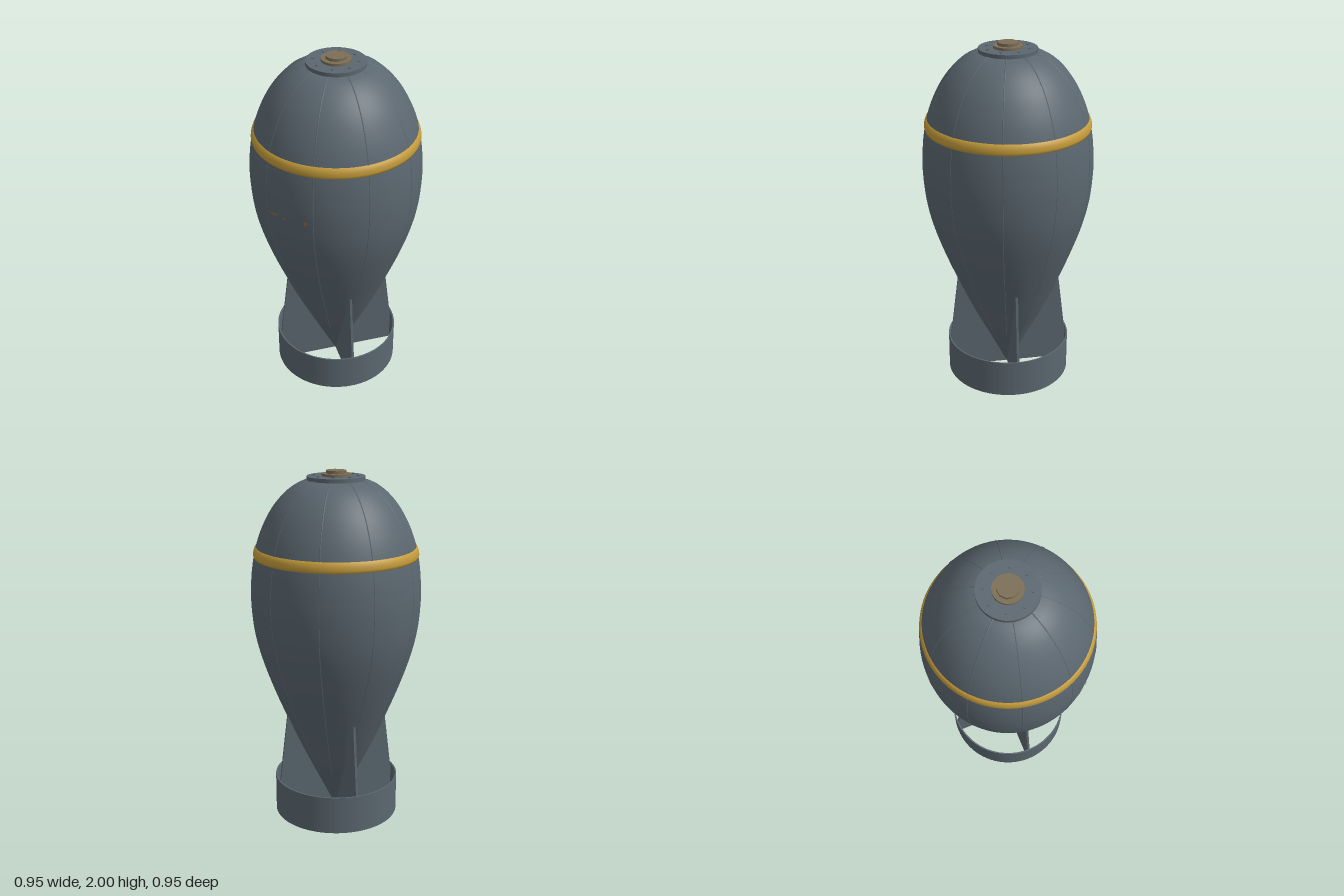
import * as THREE from 'three';

const mat = (name, color, side = THREE.FrontSide) => {
  const m = new THREE.MeshStandardMaterial({ color, side });
  m.name = name;
  return m;
};

export function createModel() {
  const steel = mat('blue grey steel', 0x5b6770);
  const gold = mat('gold paint', 0xc49b3b);
  const bronze = mat('dull bronze', 0x7b6e57);
  const rust = mat('rust', 0x8f6a38, THREE.DoubleSide);

  const model = new THREE.Group();
  model.name = 'finnedBomb';
  const add = (name, geometry, material, parent = model) => {
    const mesh = new THREE.Mesh(geometry, material);
    mesh.name = name;
    parent.add(mesh);
    return mesh;
  };

  // Body: smooth teardrop, pointed at the bottom
  const profile = new THREE.SplineCurve([
    [0.005, 0.0], [0.113, 0.22], [0.215, 0.43], [0.298, 0.62], [0.37, 0.8],
    [0.427, 0.97], [0.461, 1.12], [0.475, 1.28], [0.472, 1.4], [0.461, 1.5],
    [0.44, 1.6], [0.404, 1.7], [0.349, 1.8], [0.28, 1.88], [0.21, 1.93], [0.15, 1.952],
  ].map(([r, y]) => new THREE.Vector2(r, y)));
  const outline = profile.getPoints(75);
  add('body', new THREE.LatheGeometry([...outline, new THREE.Vector2(0, 1.953)], 96), steel);

  // Ten faint raised seams running from nose to tail
  const seams = new THREE.Group();
  seams.name = 'seams';
  model.add(seams);
  const seamPath = new THREE.CatmullRomCurve3(
    outline.filter((p, i) => i % 3 === 0 && p.y > 0.22)
      .map((p) => new THREE.Vector3(p.x - 0.002, p.y, 0)));
  const seamGeometry = new THREE.TubeGeometry(seamPath, 48, 0.004, 6);
  for (let i = 0; i < 10; i++) {
    add('seam', seamGeometry, steel, seams).rotation.y = (i * Math.PI) / 5;
  }

  // Painted band with rounded edges
  add('goldBand', new THREE.LatheGeometry([
    [0.44, 1.526], [0.456, 1.53], [0.46, 1.545], [0.457, 1.565], [0.45, 1.585], [0.436, 1.592],
  ].map(([r, y]) => new THREE.Vector2(r, y)), 96), gold);

  // Nose plate, collar and nut
  const disc = (name, r, y0, y1, sides, material) => {
    add(name, new THREE.CylinderGeometry(r, r, y1 - y0, sides), material).position.y = (y0 + y1) / 2;
  };
  disc('nosePlate', 0.16, 1.94, 1.97, 64, steel);
  disc('noseCollar', 0.08, 1.965, 1.984, 48, bronze);
  disc('noseNut', 0.057, 1.98, 2.0, 10, bronze);
  const boltGeometry = new THREE.CylinderGeometry(0.008, 0.008, 0.008, 8);
  for (let i = 0; i < 8; i++) {
    const a = ((i + 0.5) * Math.PI) / 4;
    add('plateBolt', boltGeometry, steel).position.set(0.12 * Math.cos(a), 1.971, 0.12 * Math.sin(a));
  }

  // Four thin fins, slightly off the diagonals
  const finShape = new THREE.Shape([
    [0, 0.01], [0.352, 0.01], [0.352, 0.2], [0.346, 0.22], [0.296, 0.625], [0.2, 0.5], [0, 0.1],
  ].map(([x, y]) => new THREE.Vector2(x, y)));
  const finGeometry = new THREE.ExtrudeGeometry(finShape, { depth: 0.014, bevelEnabled: false });
  finGeometry.translate(0, 0, -0.007);
  for (let i = 0; i < 4; i++) {
    add('tailFin', finGeometry, steel).rotation.y = THREE.MathUtils.degToRad(-41 + 90 * i);
  }

  // Open tail ring
  const ringShape = new THREE.Shape().absarc(0, 0, 0.358, 0, Math.PI * 2);
  ringShape.holes.push(new THREE.Path().absarc(0, 0, 0.35, 0, Math.PI * 2, true));
  const ringGeometry = new THREE.ExtrudeGeometry(ringShape, {
    depth: 0.22, bevelEnabled: false, curveSegments: 64,
  });
  ringGeometry.rotateX(-Math.PI / 2);
  add('tailRing', ringGeometry, steel);

  // Small rust spots on the front
  const spots = [[-0.1, 1.247, 0.026, 0.01], [-0.073, 1.254, 0.014, 0.008],
    [-0.017, 1.25, 0.013, 0.01], [0.108, 1.254, 0.014, 0.014]];
  for (const [x, y, w, h] of spots) {
    const points = [];
    for (let i = 0; i < 9; i++) {
      const a = (i / 9) * Math.PI * 2;
      const k = 0.85 + 0.25 * Math.sin(i * 2.7 + x * 40);
      points.push(new THREE.Vector2(w * k * Math.cos(a), h * k * Math.sin(a)));
    }
    const spot = add('rustSpot', new THREE.ShapeGeometry(new THREE.Shape(points)), rust);
    const angle = Math.asin(x / 0.477);
    spot.position.set(x, y, 0.477 * Math.cos(angle));
    spot.rotation.y = angle;
  }
  return model;
}
